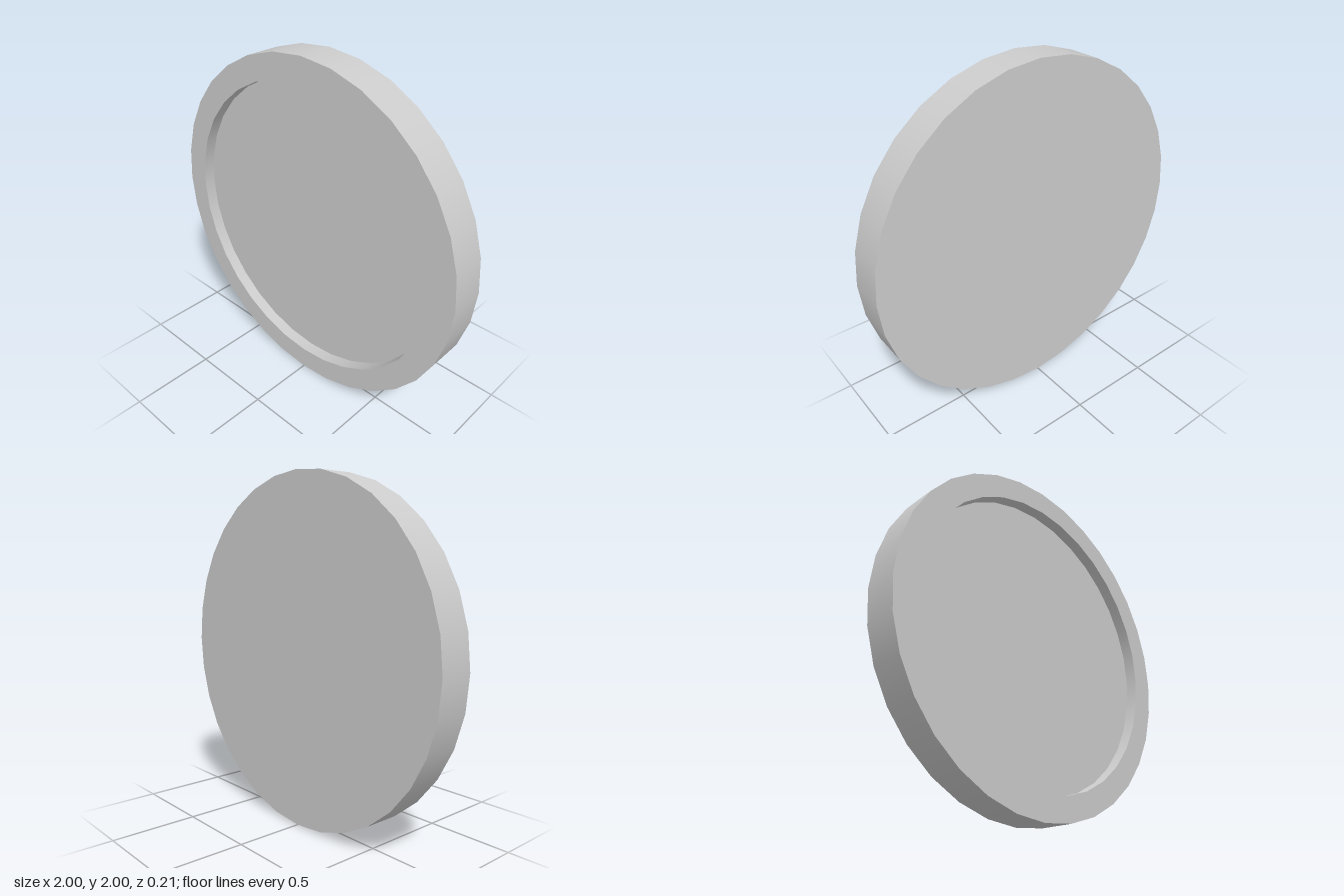
import * as THREE from 'three';

const SIDES = 32;
const RADIUS = 1;
const INNER = 0.86; // radius of the recess
const HALF = 0.103; // half thickness
const FLOOR = HALF - 0.07; // height of the recessed face

export function createModel() {
  const group = new THREE.Group();
  group.name = 'dish';
  const material = new THREE.MeshStandardMaterial({ color: 0xcccccc });

  // One surface of revolution per profile segment keeps the edges sharp
  const addBand = (name, from, to) => {
    const points = [new THREE.Vector2(...from), new THREE.Vector2(...to)];
    const geometry = new THREE.LatheGeometry(points, SIDES);
    geometry.rotateX(Math.PI / 2); // axis along z, recess facing +z
    const mesh = new THREE.Mesh(geometry, material);
    mesh.name = name;
    mesh.position.y = RADIUS;
    group.add(mesh);
  };

  addBand('backFace', [0, -HALF], [RADIUS, -HALF]);
  addBand('outerWall', [RADIUS, -HALF], [RADIUS, HALF]);
  addBand('frontRim', [RADIUS, HALF], [INNER, HALF]);
  addBand('innerWall', [INNER, HALF], [INNER, FLOOR]);
  addBand('recessedFace', [INNER, FLOOR], [0, FLOOR]);

  return group;
}
